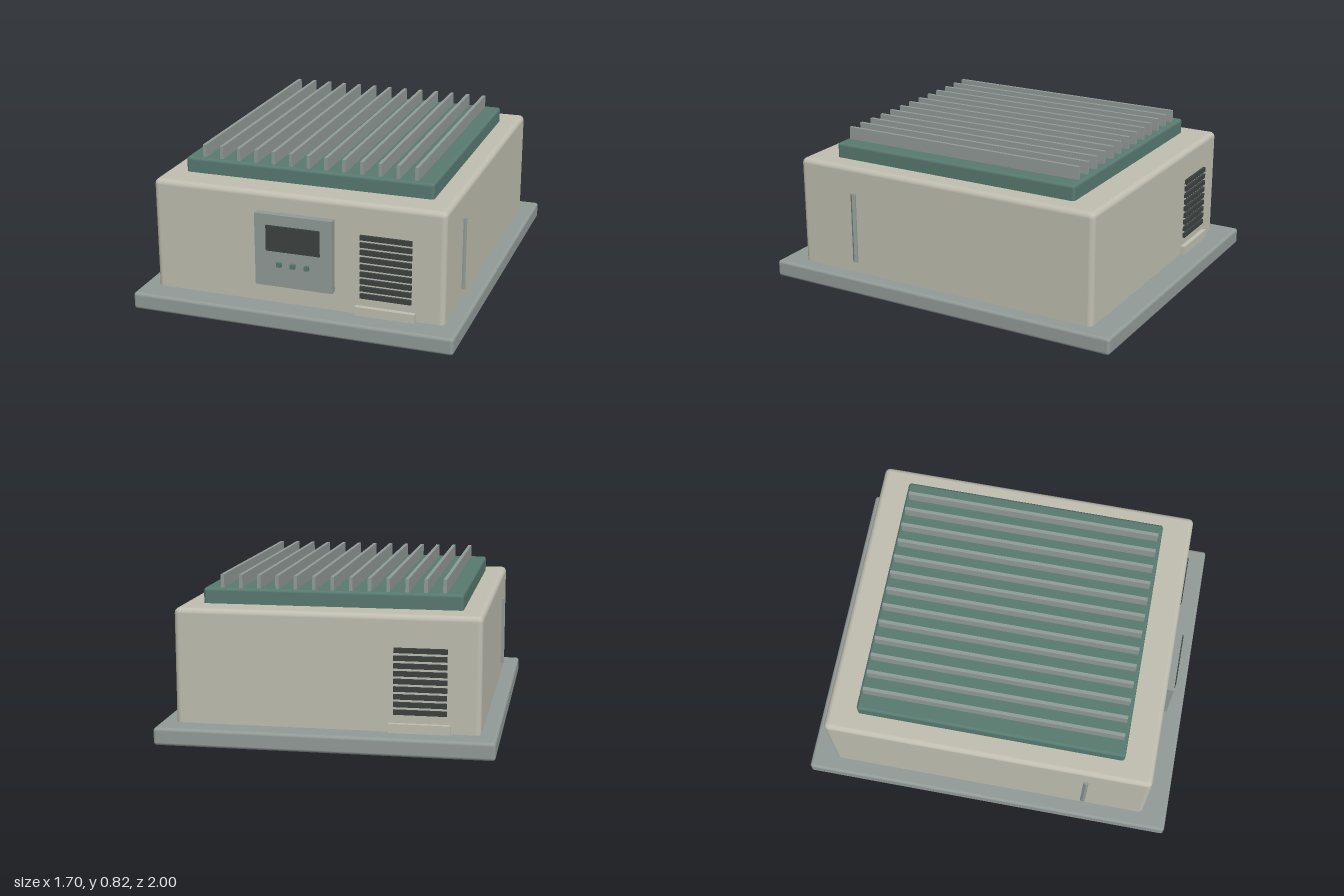
import * as THREE from 'three';
import { RoundedBoxGeometry } from 'three/addons/geometries/RoundedBoxGeometry.js';

const paint = (name, color) => {
  const m = new THREE.MeshStandardMaterial({ color });
  m.name = name;
  return m;
};

export function createModel() {
  const beige = paint('beigeCasing', 0xc0beb0);
  const grey = paint('greyMetal', 0x929b98);
  const green = paint('greenLid', 0x587a70);
  const dark = paint('darkInsets', 0x3c4240);
  const model = new THREE.Group();
  model.name = 'equipmentUnit';

  const add = (name, geometry, material, parent = model) => {
    const mesh = new THREE.Mesh(geometry, material);
    mesh.name = name;
    parent.add(mesh);
    return mesh;
  };
  // Box given by its extents; a radius rounds its edges
  const box = (name, material, [x0, x1], [y0, y1], [z0, z1], radius = 0, parent = model) => {
    const size = [x1 - x0, y1 - y0, z1 - z0];
    const geometry = radius
      ? new RoundedBoxGeometry(...size, 4, radius)
      : new THREE.BoxGeometry(...size);
    geometry.translate((x0 + x1) / 2, (y0 + y1) / 2, (z0 + z1) / 2);
    return add(name, geometry, material, parent);
  };

  // Stacked main volumes
  box('basePlate', grey, [-0.85, 0.85], [0, 0.09], [-1, 1], 0.016);
  box('casing', beige, [-0.77, 0.77], [0.05, 0.675], [-0.867, 0.867], 0.028);
  box('lid', green, [-0.66, 0.66], [0.64, 0.755], [-0.705, 0.705], 0.016);

  // Cooling fins
  const fins = new THREE.Group();
  fins.name = 'coolingFins';
  model.add(fins);
  for (let i = -6; i <= 6; i++) {
    const x = i * 0.0942;
    box('fin', grey, [x - 0.009, x + 0.009], [0.745, 0.822], [-0.683, 0.683], 0, fins);
  }

  // Control panel
  box('controlPanel', grey, [-0.204, 0.204], [0.194, 0.576], [0.85, 0.907]);
  box('displayScreen', dark, [-0.141, 0.141], [0.386, 0.52], [0.9, 0.917]);
  for (const x of [-0.073, 0, 0.073]) {
    box('button', green, [x - 0.012, x + 0.012], [0.305, 0.329], [0.9, 0.924]);
  }

  // Louvre and drip tray, repeated diagonally opposite on the back
  for (const side of ['front', 'back']) {
    const vent = new THREE.Group();
    vent.name = side + 'Vent';
    if (side === 'back') vent.rotation.y = Math.PI;
    model.add(vent);
    for (let i = 0; i < 9; i++) {
      const y = 0.192 + i * 0.0386;
      box('ventSlat', dark, [0.338, 0.602], [y - 0.0125, y + 0.0125], [0.85, 0.88], 0, vent);
    }
    box('ventTray', beige, [0.315, 0.623], [0.08, 0.136], [0.84, 0.892], 0, vent);
  }

  // Hexagonal rods on both flanks
  for (const [name, s] of [['leftRod', 1], ['rightRod', -1]]) {
    const hex = new THREE.CylinderGeometry(0.016, 0.016, 0.383, 6).rotateY(Math.PI / 6).toNonIndexed();
    hex.computeVertexNormals();
    add(name, hex, grey).position.set(s * 0.77, 0.342, 0.53);
  }

  return model;
}
